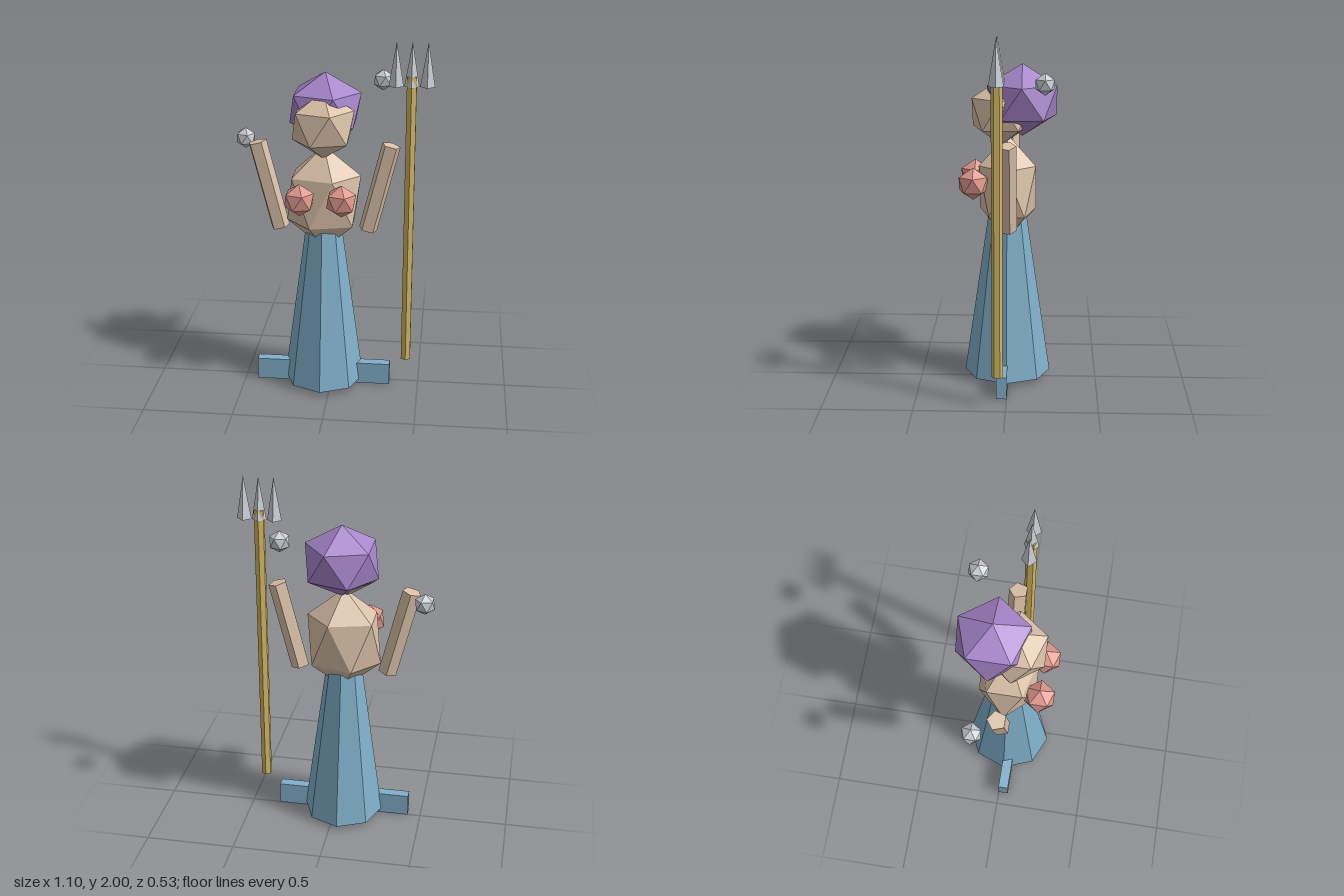
import * as THREE from 'three';
import { ConvexGeometry } from 'three/addons/geometries/ConvexGeometry.js';

const material = (name, color) => {
  const m = new THREE.MeshStandardMaterial({ color, flatShading: true });
  m.name = name;
  return m;
};

// Icosahedron standing on a pole, upper ring pointing to +x, lower ring to -x
function poleIcosahedron(rx, ry, rz) {
  const points = [new THREE.Vector3(0, ry, 0), new THREE.Vector3(0, -ry, 0)];
  const ring = 2 / Math.sqrt(5), height = 1 / Math.sqrt(5);
  for (let i = 0; i < 5; i++) {
    const a = (i * Math.PI * 2) / 5;
    const x = rx * ring * Math.cos(a), z = rz * ring * Math.sin(a);
    points.push(new THREE.Vector3(x, ry * height, z), new THREE.Vector3(-x, -ry * height, z));
  }
  return new ConvexGeometry(points);
}

export function createModel() {
  const model = new THREE.Group();
  const skin = material('skin', 0xdac1a8);
  const purple = material('purple hair', 0xa685ca);
  const pink = material('pink', 0xde978d);
  const blue = material('sea blue', 0x80b0ca);
  const gold = material('gold', 0xd2b862);
  const silver = material('silver', 0xc8ced3);
  const midX = -0.045;

  const add = (name, geometry, mat, x, y, z) => {
    const mesh = new THREE.Mesh(geometry, mat);
    mesh.name = name;
    mesh.position.set(x, y, z);
    model.add(mesh);
    return mesh;
  };

  // Body, head and hair
  add('torso', poleIcosahedron(0.23, 0.3, 0.185), skin, midX, 1.11, 0.005);
  add('head', poleIcosahedron(0.19, 0.187, 0.187), skin, midX, 1.535, 0.04);
  add('hair', poleIcosahedron(0.222, 0.2, 0.223), purple, midX, 1.602, -0.076);

  // Tapered octagonal skirt
  const skirt = add('skirt', new THREE.CylinderGeometry(0.104, 0.243, 0.945, 8), blue, midX, 0.4975, 0.006);
  skirt.scale.x = 0.93;

  // Mirrored parts: chest, arms, fins
  for (const side of [-1, 1]) {
    const label = side > 0 ? 'left' : 'right';
    add(label + 'Breast', poleIcosahedron(0.09, 0.09, 0.092), pink, midX + side * 0.114, 1.155, 0.19);

    // Five-sided arm with its flat side to the front, leaning outwards
    const arm = new THREE.CylinderGeometry(0.053, 0.053, 0.505, 5);
    arm.rotateY(Math.PI);
    add(label + 'Arm', arm, skin, midX + side * 0.307, 1.175, 0).rotation.z = -side * 0.246;

    add(label + 'Fin', new THREE.BoxGeometry(0.352, 0.125, 0.058), blue, midX + side * 0.206, 0.0625, 0.028);
  }

  // Trident
  const staffX = 0.428, staffZ = 0.046;
  add('tridentStaff', new THREE.CylinderGeometry(0.03, 0.03, 1.645, 6), gold, staffX, 0.9925, staffZ);
  for (const i of [-1, 0, 1]) {
    add('tridentProng', new THREE.ConeGeometry(0.04, 0.24, 4), silver, staffX + i * 0.083, 1.88, staffZ);
  }

  // Floating pearls
  add('rightPearl', poleIcosahedron(0.059, 0.059, 0.059), silver, -0.497, 1.405, -0.12);
  add('leftPearl', poleIcosahedron(0.059, 0.059, 0.059), silver, 0.262, 1.735, -0.2);

  return model;
}
